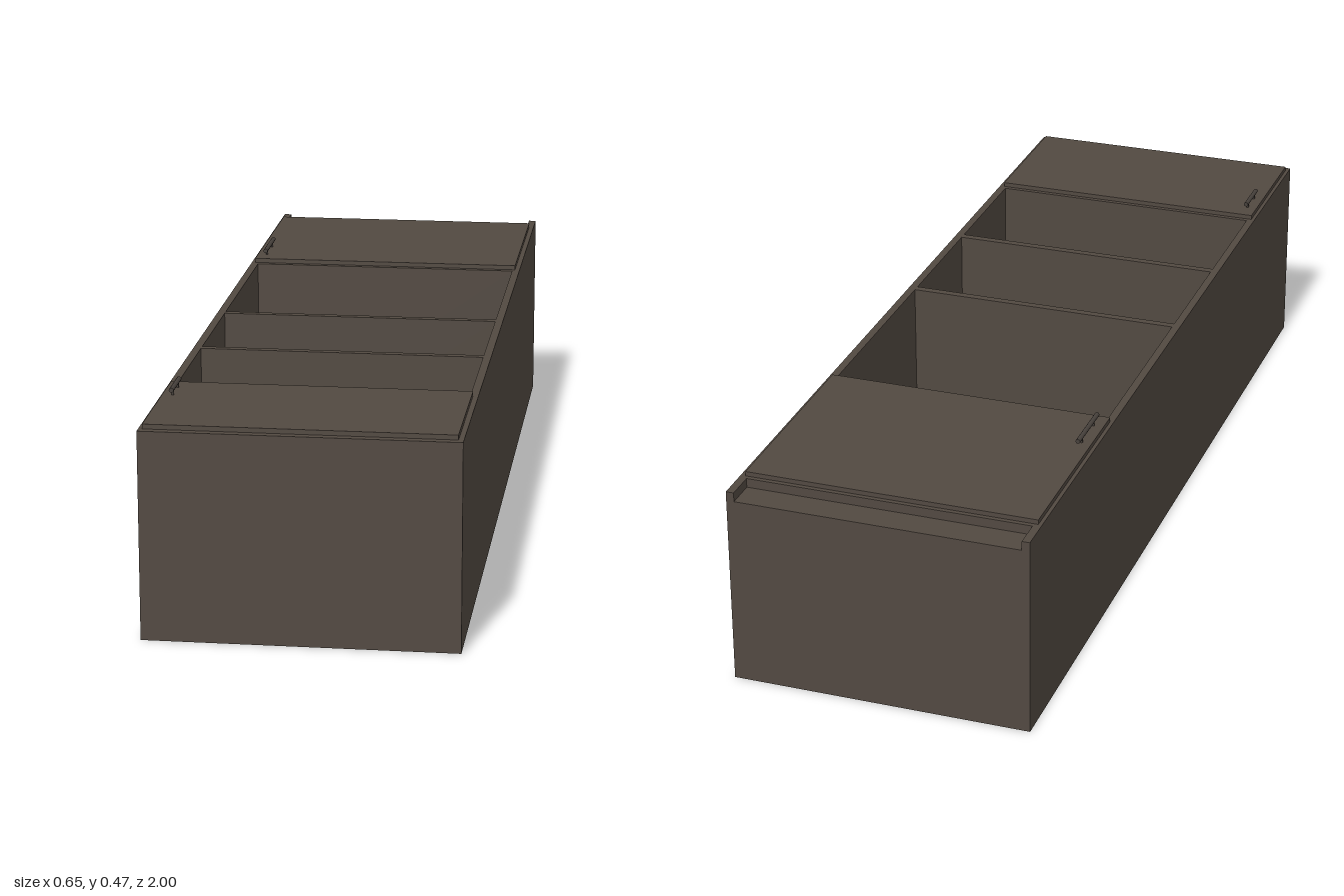
import * as THREE from 'three';

const W = 0.648, H = 0.438, T = 0.017; // cabinet width, depth (upwards), board thickness

export function createModel() {
  const model = new THREE.Group();
  model.name = 'cabinet';
  const wood = new THREE.MeshStandardMaterial({ color: 0x524941 });
  wood.name = 'dark brown wood';
  const metal = new THREE.MeshStandardMaterial({ color: 0x47413c });
  metal.name = 'dark handle metal';

  // Box given by its lower and upper limits on each axis
  function board(name, x0, x1, y0, y1, z0, z1) {
    const mesh = new THREE.Mesh(new THREE.BoxGeometry(x1 - x0, y1 - y0, z1 - z0), wood);
    mesh.position.set((x0 + x1) / 2, (y0 + y1) / 2, (z0 + z1) / 2);
    mesh.name = name;
    model.add(mesh);
  }

  // Carcass lying on its back, open side upwards
  const inner = W / 2 - T;
  board('leftSide', inner, W / 2, 0, H, -1, 1);
  board('rightSide', -W / 2, -inner, 0, H, -1, 1);
  board('backPanel', -inner, inner, 0, 0.005, -0.935, 1 - T);
  board('topPanel', -inner, inner, 0, H, 1 - T, 1);
  board('bottomPanel', -inner, inner, 0, H, -0.935, -0.918);
  board('plinth', -inner, inner, 0, H - 0.02, -1, -0.935);

  // Shelves
  for (const z of [-0.452, 0.036, 0.348, 0.661])
    board('shelf', -inner, inner, 0.005, H, z - T / 2, z + T / 2);

  // Doors
  board('lowerDoor', -0.316, 0.313, H, 0.448, -0.925, -0.457);
  board('upperDoor', -0.316, 0.313, H, 0.448, 0.663, 0.983);

  // Bar handles on two posts
  function handle(name, z, length, spacing) {
    const group = new THREE.Group();
    group.name = name;
    const bar = new THREE.Mesh(new THREE.CylinderGeometry(0.005, 0.005, length, 12), metal);
    bar.name = 'handleBar';
    bar.rotation.x = Math.PI / 2;
    bar.position.y = 0.014;
    group.add(bar);
    for (const s of [-1, 1]) {
      const post = new THREE.Mesh(new THREE.CylinderGeometry(0.0025, 0.0025, 0.014, 10), metal);
      post.name = 'handlePost';
      post.position.set(0, 0.007, s * spacing / 2);
      group.add(post);
    }
    group.position.set(-0.294, 0.448, z);
    model.add(group);
  }
  handle('lowerHandle', -0.543, 0.13, 0.08);
  handle('upperHandle', 0.737, 0.09, 0.056);

  return model;
}
